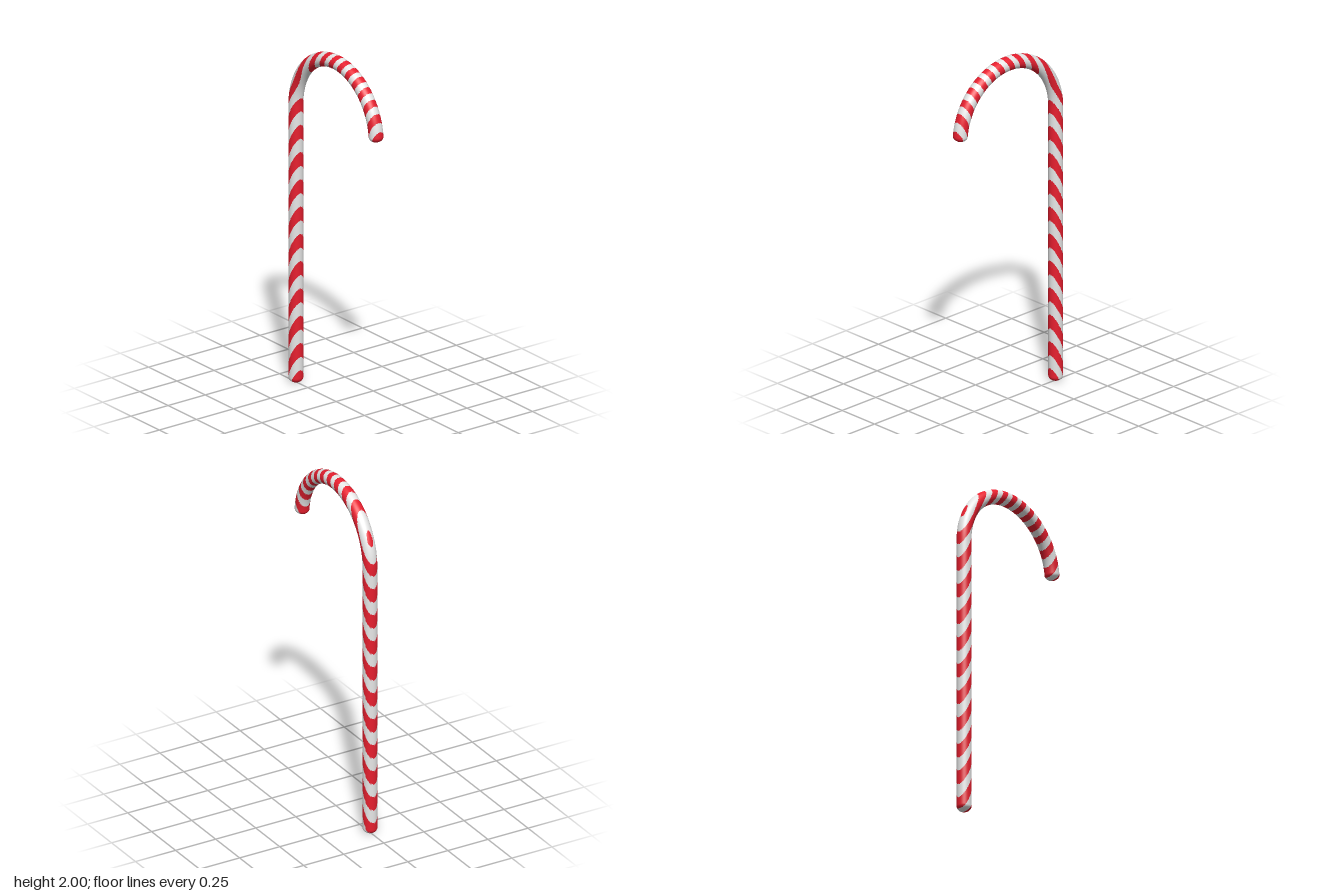
import * as THREE from 'three';

const R = 0.04;          // thickness of the cane
const BEND = 0.355;      // radius of the hook
const BEND_Y = 1.605;    // height where the hook starts
const CAP = 0.03;        // depth of the rounded ends
const END = THREE.MathUtils.degToRad(6); // hook stops just short of a half turn
const SIDES = 88;

// Diagonal stripes: slanted parallel planes cut through the whole cane
function isRed(x, y) {
  const lift = 0.1 * Math.max(0, -x) * THREE.MathUtils.clamp((y - 1.6) / 0.15, 0, 1);
  const t = (y - 2.05 * x + lift - 1.944) / 0.1575;
  return Math.abs(t - Math.round(t)) < 0.257;
}

// Rings along the cane: centre, outward direction in the xy plane, radius
function makeRings() {
  const rings = [];
  const add = (x, y, nx, ny, r) => rings.push({ x, y, nx, ny, r });
  const capSteps = 12, shaftSteps = 320, hookSteps = 220;

  // bottom end
  for (let i = 0; i < capSteps; i++) {
    const a = (i / capSteps) * Math.PI / 2;
    add(-BEND, CAP - CAP * Math.cos(a), -1, 0, R * Math.sin(a));
  }
  // straight shaft
  for (let i = 0; i < shaftSteps; i++) {
    add(-BEND, CAP + (BEND_Y - CAP) * i / shaftSteps, -1, 0, R);
  }
  // hook
  for (let i = 0; i <= hookSteps; i++) {
    const a = Math.PI + (END - Math.PI) * i / hookSteps;
    const c = Math.cos(a), s = Math.sin(a);
    add(BEND * c, BEND_Y + BEND * s, c, s, R);
  }
  // hook tip
  const c = Math.cos(END), s = Math.sin(END);
  for (let i = 1; i <= capSteps; i++) {
    const a = (i / capSteps) * Math.PI / 2;
    const d = CAP * Math.sin(a);
    add(BEND * c + s * d, BEND_Y + BEND * s - c * d, c, s, R * Math.cos(a));
  }
  return rings;
}

function caneGeometry() {
  const rings = makeRings();
  const pos = [];
  for (const { x, y, nx, ny, r } of rings) {
    for (let j = 0; j < SIDES; j++) {
      const a = (j / SIDES) * Math.PI * 2;
      const k = r * Math.cos(a);
      pos.push(x + nx * k, y + ny * k, r * Math.sin(a));
    }
  }
  // sort each small face into the white or the red group
  const white = [], red = [];
  for (let i = 0; i < rings.length - 1; i++) {
    for (let j = 0; j < SIDES; j++) {
      const k = (j + 1) % SIDES;
      const a = i * SIDES + j, b = i * SIDES + k;
      const c = b + SIDES, d = a + SIDES;
      for (const tri of [[a, b, c], [a, c, d]]) {
        const mid = (axis) => tri.reduce((sum, v) => sum + pos[v * 3 + axis], 0) / 3;
        (isRed(mid(0), mid(1)) ? red : white).push(...tri);
      }
    }
  }
  const geo = new THREE.BufferGeometry();
  geo.setAttribute('position', new THREE.Float32BufferAttribute(pos, 3));
  geo.setIndex(white.concat(red));
  geo.addGroup(0, white.length, 0);
  geo.addGroup(white.length, red.length, 1);
  geo.computeVertexNormals();
  return geo;
}

export function createModel() {
  const sugarWhite = new THREE.MeshStandardMaterial({ color: 0xebebeb });
  sugarWhite.name = 'sugarWhite';
  const stripeRed = new THREE.MeshStandardMaterial({ color: 0xeb2030 });
  stripeRed.name = 'stripeRed';

  const cane = new THREE.Mesh(caneGeometry(), [sugarWhite, stripeRed]);
  cane.name = 'stripedCane';

  const group = new THREE.Group();
  group.name = 'candyCane';
  group.add(cane);
  return group;
}
